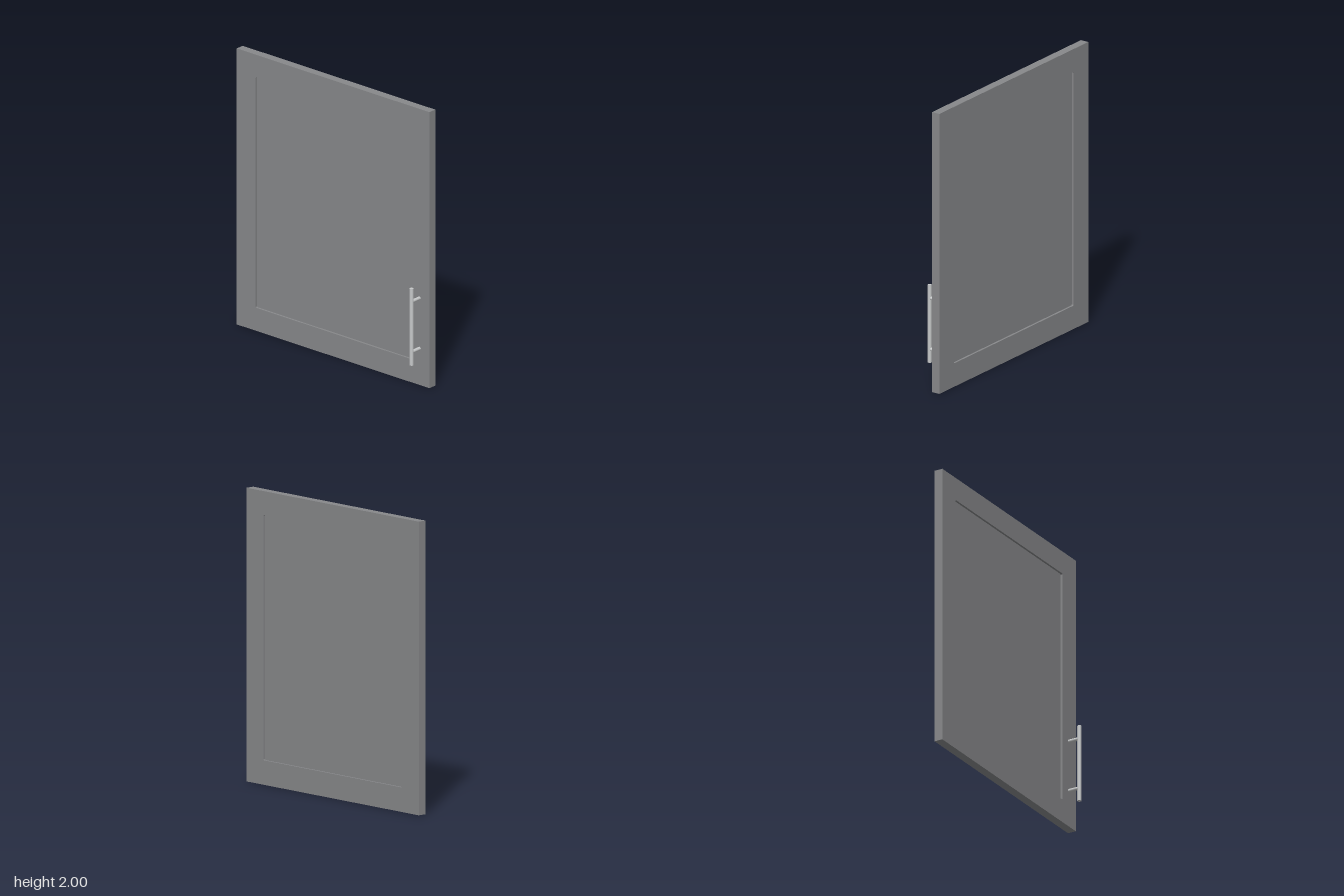
import * as THREE from 'three';

export function createModel() {
  const group = new THREE.Group();
  group.name = 'cabinetDoor';

  const paint = new THREE.MeshStandardMaterial({ color: 0x87888a });
  paint.name = 'grey paint';
  const steel = new THREE.MeshStandardMaterial({ color: 0xc6c8c9 });
  steel.name = 'brushed steel';

  function add(name, geometry, material, x, y, z) {
    const mesh = new THREE.Mesh(geometry, material);
    mesh.name = name;
    mesh.position.set(x, y, z);
    group.add(mesh);
    return mesh;
  }

  const halfWidth = 0.855, height = 2;
  const back = -0.078, thickness = 0.061;
  const inX = 0.686, inLow = 0.167, inHigh = 1.837, r = 0.008;

  // Frame with a slightly rounded opening
  const outline = new THREE.Shape();
  outline.moveTo(-halfWidth, 0);
  outline.lineTo(halfWidth, 0);
  outline.lineTo(halfWidth, height);
  outline.lineTo(-halfWidth, height);
  outline.closePath();

  const opening = new THREE.Path();
  opening.absarc(inX - r, inHigh - r, r, 0, Math.PI / 2);
  opening.absarc(-inX + r, inHigh - r, r, Math.PI / 2, Math.PI);
  opening.absarc(-inX + r, inLow + r, r, Math.PI, Math.PI * 1.5);
  opening.absarc(inX - r, inLow + r, r, Math.PI * 1.5, Math.PI * 2);
  opening.closePath();
  outline.holes.push(opening);

  const frame = new THREE.ExtrudeGeometry(outline, { depth: thickness, bevelEnabled: false, curveSegments: 4 });
  add('frame', frame, paint, 0, 0, back);

  // Panel recessed on both faces, tucked into the frame
  const panel = new THREE.BoxGeometry(inX * 2 + 0.02, inHigh - inLow + 0.02, thickness - 0.03);
  add('panel', panel, paint, 0, (inLow + inHigh) / 2, back + thickness / 2);

  // Bar handle on two posts
  const handleX = 0.768, barZ = 0.064, front = back + thickness;
  add('handleBar', new THREE.CylinderGeometry(0.014, 0.014, 0.555, 24), steel, handleX, 0.4475, barZ);
  for (const y of [0.265, 0.63]) {
    const post = new THREE.CylinderGeometry(0.012, 0.012, barZ - front + 0.005, 20);
    post.rotateX(Math.PI / 2);
    add('handlePost', post, steel, handleX, y, (barZ + front - 0.005) / 2);
  }

  return group;
}
